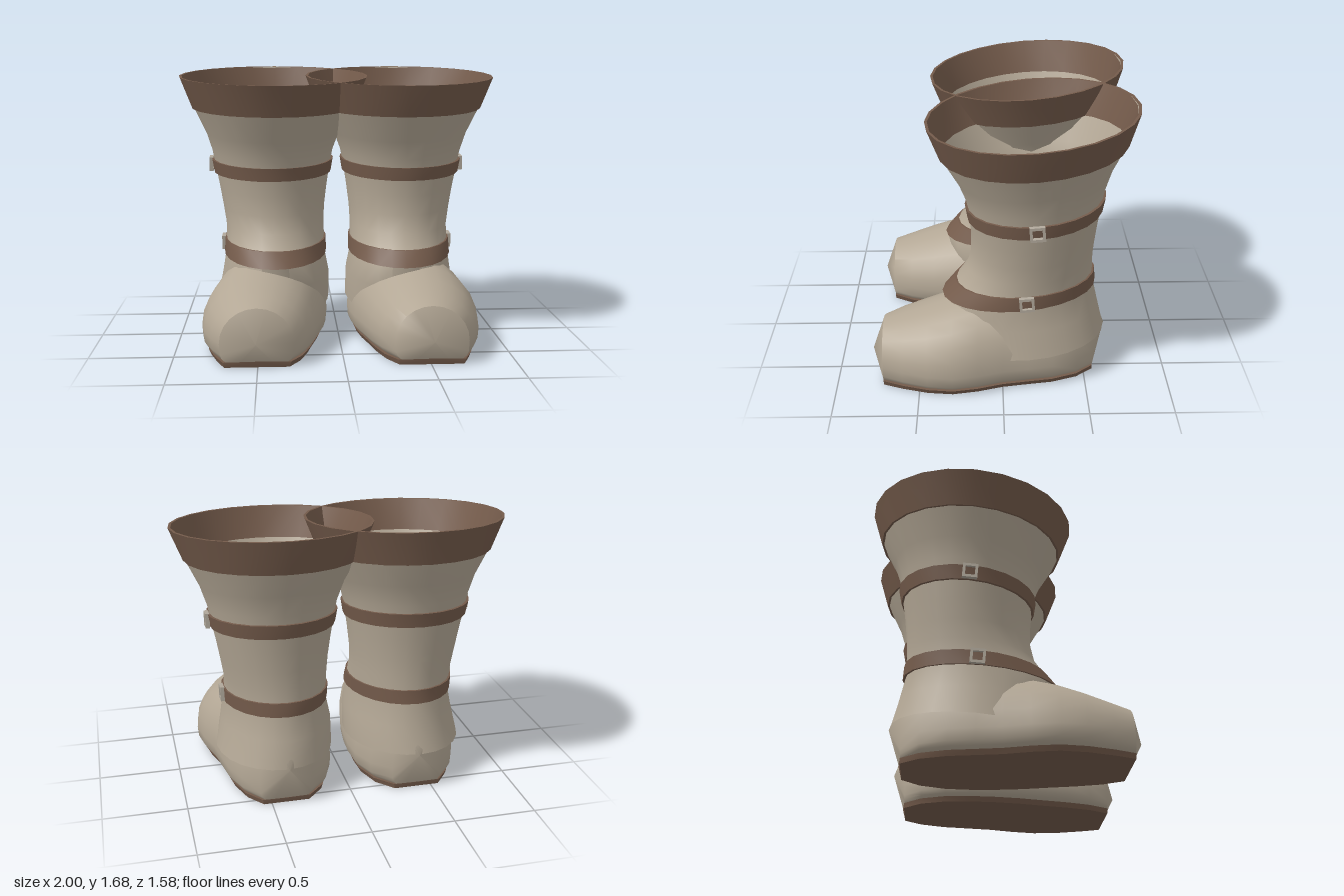
import * as THREE from 'three';
import { toCreasedNormals } from 'three/addons/utils/BufferGeometryUtils.js';

const SEG = 24;

// Skin a list of closed rings; side = -1 mirrors the part in x.
function loft(rings, side, crease = 0.7) {
  const n = rings[0].length, pos = [], idx = [];
  for (const ring of rings) for (const [x, y, z] of ring) pos.push(x * side, y, z);
  const tri = (a, b, c) => (side > 0 ? idx.push(a, b, c) : idx.push(a, c, b));
  for (let i = 0; i < rings.length - 1; i++) {
    for (let j = 0; j < n; j++) {
      const k = (j + 1) % n;
      const a = i * n + j, b = i * n + k, c = a + n, d = b + n;
      tri(a, c, b);
      tri(b, c, d);
    }
  }
  const geo = new THREE.BufferGeometry();
  geo.setAttribute('position', new THREE.Float32BufferAttribute(pos, 3));
  geo.setIndex(idx);
  return toCreasedNormals(geo, crease);
}

// Tilted ellipse from its front point, back point and x limits; grow offsets it outward.
function ellipse([zf, yf, zb, yb, x0, x1], grow = 0) {
  return Array.from({ length: SEG }, (_, j) => {
    const t = (j / SEG) * Math.PI * 2, s = Math.sin(t);
    return [
      (x0 + x1) / 2 + ((x1 - x0) / 2 + grow) * Math.cos(t),
      (yf + yb) / 2 + ((yf - yb) / 2) * s,
      (zf + zb) / 2 + ((zf - zb) / 2 + grow) * s,
    ];
  });
}

// Closed band with thickness between two tilted ellipses.
function band(low, high, thick, side) {
  return loft([ellipse(low, -thick), ellipse(low), ellipse(high), ellipse(high, -thick), ellipse(low, -thick)], side);
}

// Upright foot section: domed above the widest line, squarer below.
function footSection([z, x0, x1, top]) {
  const mid = 0.14;
  return Array.from({ length: SEG }, (_, j) => {
    const t = (j / SEG) * Math.PI * 2, c = Math.cos(t), s = Math.sin(t);
    const e = s < 0 ? 0.5 : 1;
    const x = (x0 + x1) / 2 + ((x1 - x0) / 2) * Math.sign(c) * Math.abs(c) ** e;
    const y = s < 0 ? mid - (mid - 0.012) * Math.abs(s) ** e : mid + (top - mid) * s;
    return [x, y, z];
  });
}

// Foot sections from toe to heel: z, inner x, outer x, top y
const FOOT = [
  [0.72, 0.29, 0.72, 0.345],
  [0.6, 0.215, 0.775, 0.385],
  [0.45, 0.165, 0.825, 0.435],
  [0.3, 0.13, 0.845, 0.485],
  [0.15, 0.095, 0.82, 0.53],
  [0, 0.075, 0.775, 0.56],
  [-0.15, 0.068, 0.75, 0.58],
  [-0.3, 0.08, 0.725, 0.58],
  [-0.45, 0.14, 0.665, 0.55],
  [-0.555, 0.25, 0.57, 0.46],
];

// Shaft rings from the heel seam to the rim: front z, front y, back z, back y, inner x, outer x
const SHAFT = [
  [0.33, 0.18, -0.625, 0.255, 0.055, 0.77],
  [0.34, 0.36, -0.585, 0.42, 0.056, 0.735],
  [0.35, 0.49, -0.553, 0.56, 0.082, 0.712],
  [0.275, 0.58, -0.548, 0.645, 0.083, 0.71],
  [0.21, 0.67, -0.546, 0.73, 0.086, 0.712],
  [0.183, 0.78, -0.552, 0.84, 0.08, 0.73],
  [0.182, 0.9, -0.566, 0.97, 0.064, 0.752],
  [0.195, 1.03, -0.585, 1.1, 0.045, 0.778],
  [0.215, 1.13, -0.6, 1.2, 0.025, 0.797],
  [0.26, 1.24, -0.64, 1.33, -0.02, 0.835],
  [0.355, 1.4, -0.715, 1.485, -0.11, 0.91],
  [0.425, 1.58, -0.768, 1.682, -0.185, 0.985],
];

function buckleGeometry() {
  const shape = new THREE.Shape();
  const rect = (p, h) => p.moveTo(-h, -h).lineTo(h, -h).lineTo(h, h).lineTo(-h, h).closePath();
  rect(shape, 0.044);
  const hole = new THREE.Path();
  rect(hole, 0.028);
  shape.holes.push(hole);
  return new THREE.ExtrudeGeometry(shape, { depth: 0.025, bevelEnabled: false })
    .translate(0, 0, -0.0125).rotateY(Math.PI / 2).rotateX(0.08);
}

export function createModel() {
  const flat = (name, color) => {
    const m = new THREE.MeshStandardMaterial({ color });
    m.name = name;
    return m;
  };
  const hide = flat('taupe hide', 0xb3a795);
  hide.side = THREE.DoubleSide;
  const leather = flat('brown leather', 0x745b4b);
  const metal = flat('buckle metal', 0xb0a89b);

  const model = new THREE.Group();
  model.name = 'boots';

  for (const side of [1, -1]) {
    const boot = new THREE.Group();
    boot.name = side > 0 ? 'leftBoot' : 'rightBoot';
    model.add(boot);
    const add = (name, geo, mat) => {
      const mesh = new THREE.Mesh(geo, mat);
      mesh.name = name;
      boot.add(mesh);
      return mesh;
    };
    const tip = (n, x, y, z) => Array.from({ length: n }, () => [x, y, z]);

    // Foot with pointed toe and heel ends
    add('foot', loft([tip(SEG, 0.51, 0.15, 0.79), ...FOOT.map(footSection), tip(SEG, 0.4, 0.25, -0.632)], side, 0.8), hide);

    // Thin sole following the foot outline
    const sole = FOOT.map(([z, x0, x1]) => {
      const c = (x0 + x1) / 2, h = (x1 - x0) / 2;
      return [[c + h * 0.91, 0.03, z], [c - h * 0.91, 0.03, z], [c - h * 0.87, 0, z], [c + h * 0.87, 0, z]];
    });
    add('sole', loft([tip(4, 0.51, 0.04, 0.742), ...sole, tip(4, 0.41, 0.035, -0.568)], side), leather);

    // Open flared shaft
    add('shaft', loft(SHAFT.map((r) => ellipse(r)), side), hide);

    // Cuff around the rim
    add('cuff', band([0.368, 1.4, -0.728, 1.485, -0.122, 0.922], [0.44, 1.588, -0.785, 1.685, -0.198, 0.998], 0.016, side), leather);

    // Straps
    add('calfStrap', band([0.205, 1.0, -0.592, 1.065, 0.036, 0.787], [0.218, 1.08, -0.608, 1.152, 0.022, 0.803], 0.025, side), leather);
    add('ankleStrap', band([0.362, 0.488, -0.566, 0.565, 0.072, 0.722], [0.285, 0.582, -0.56, 0.65, 0.073, 0.721], 0.025, side), leather);

    // Buckles on the outer side
    for (const [name, x, y, z] of [['calfBuckle', 0.802, 1.075, -0.19], ['ankleBuckle', 0.726, 0.575, -0.14]]) {
      add(name, buckleGeometry(), metal).position.set(x * side, y, z);
    }
  }
  return model;
}
